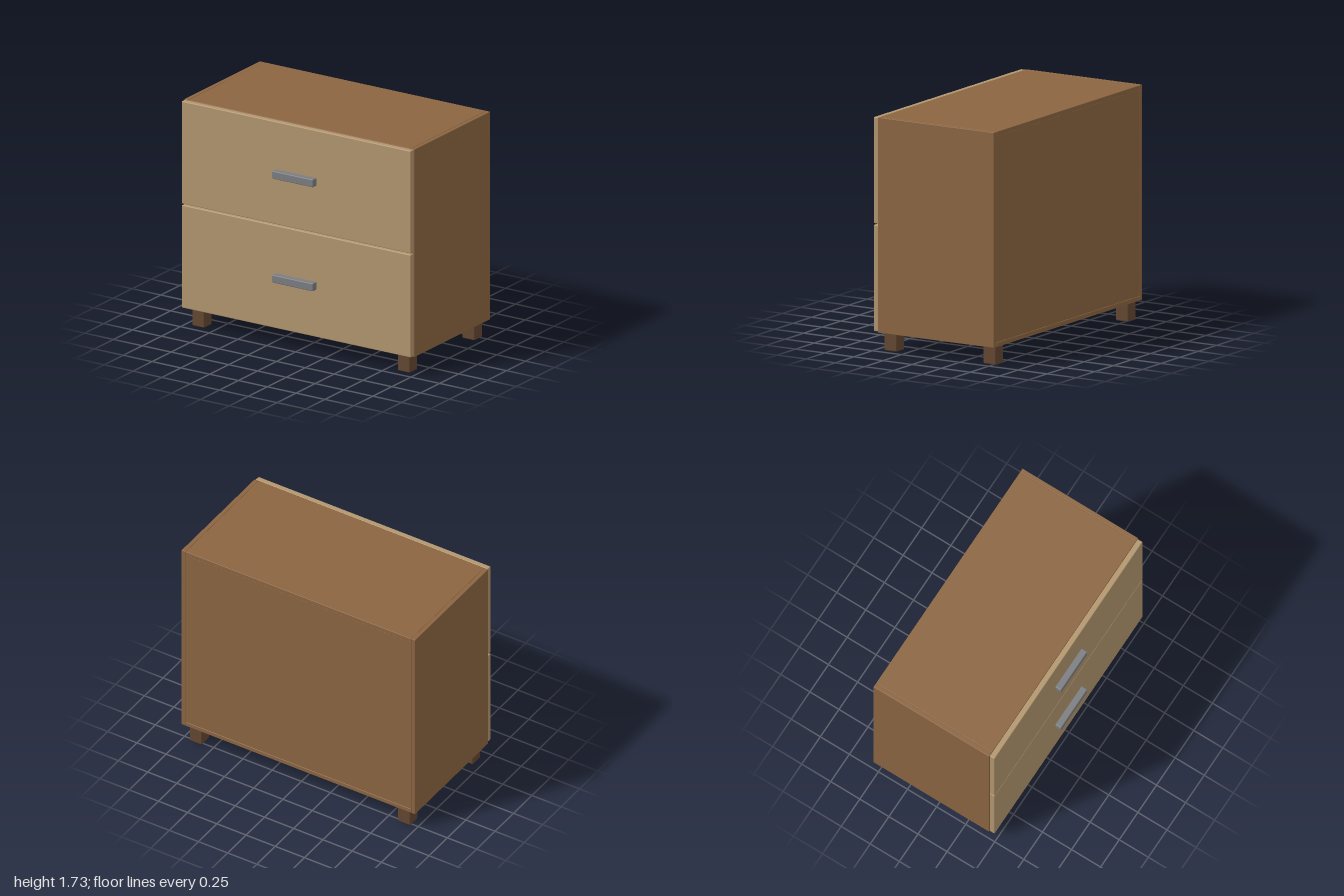
import * as THREE from 'three';
import { RoundedBoxGeometry } from 'three/addons/geometries/RoundedBoxGeometry.js';

const material = (name, color) => {
  const m = new THREE.MeshStandardMaterial({ color });
  m.name = name;
  return m;
};

export function createModel() {
  const group = new THREE.Group();
  group.name = 'drawerCabinet';
  const wood = material('brown wood', 0x8b6541);
  const paleWood = material('pale wood', 0xb2966e);
  const darkWood = material('dark wood', 0x644732);
  const metal = material('grey metal', 0x7b7d81);

  // Softened box given by its min and max corners
  const box = (name, mat, [x0, y0, z0], [x1, y1, z1], bevel) => {
    const geo = new RoundedBoxGeometry(x1 - x0, y1 - y0, z1 - z0, 2, bevel);
    const mesh = new THREE.Mesh(geo, mat);
    mesh.name = name;
    mesh.position.set((x0 + x1) / 2, (y0 + y1) / 2, (z0 + z1) / 2);
    group.add(mesh);
  };

  // Carcass: two sides with top, bottom and back between them
  const bottom = 0.138, top = 1.732, back = -0.543, front = 0.452, t = 0.034;
  box('rightSide', wood, [-1, bottom, back], [-1 + t, top, front], 0.004);
  box('leftSide', wood, [1 - t, bottom, back], [1, top, front], 0.004);
  box('topPanel', wood, [-1 + t, top - t, back], [1 - t, top, front], 0.004);
  box('bottomPanel', wood, [-1 + t, bottom, back], [1 - t, bottom + t, front], 0.004);
  box('backPanel', wood, [-1 + t, bottom + t, back + 0.003], [1 - t, top - t, back + 0.02], 0.003);

  // Two drawer fronts, each with a bar handle
  [['lower', 0.145, 0.933], ['upper', 0.943, 1.73]].forEach(([name, y0, y1]) => {
    box(name + 'DrawerFront', paleWood, [-0.994, y0, front], [0.994, y1, 0.494], 0.007);
    const y = (y0 + y1) / 2;
    box(name + 'Handle', metal, [-0.178, y - 0.03, 0.49], [0.178, y + 0.03, 0.543], 0.007);
  });

  // Four short feet
  for (const x of [-0.892, 0.892]) {
    for (const [end, z] of [['front', 0.38], ['back', -0.47]]) {
      const name = end + (x > 0 ? 'Left' : 'Right') + 'Foot';
      box(name, darkWood, [x - 0.053, 0, z - 0.053], [x + 0.053, bottom, z + 0.053], 0.009);
    }
  }
  return group;
}
